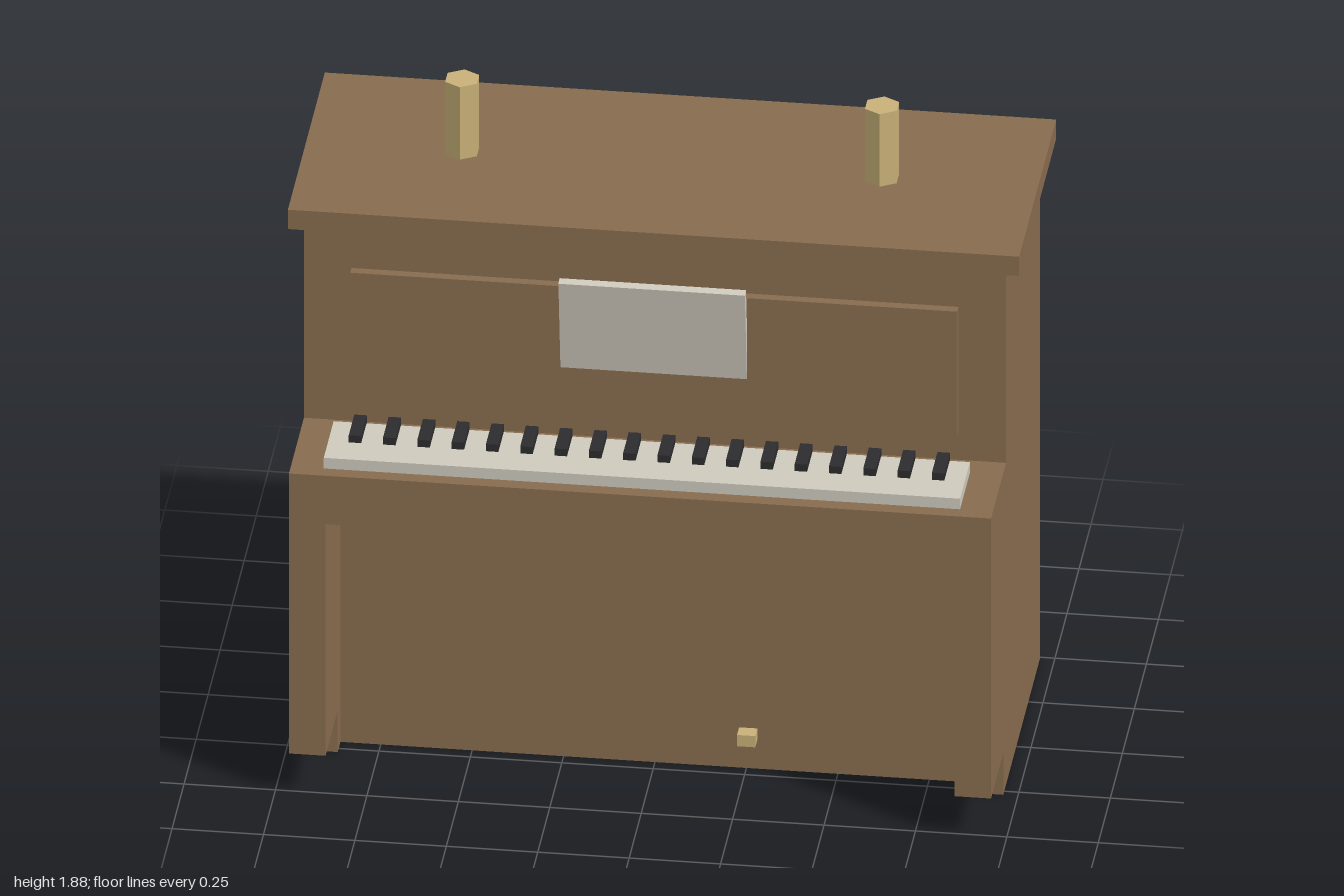
import * as THREE from 'three';

const material = (name, color) => {
  const m = new THREE.MeshStandardMaterial({ color });
  m.name = name;
  return m;
};

// Extrudes a side profile of [z, y] points across x, centred on x = 0.
function sideExtrude(points, width) {
  const shape = new THREE.Shape(points.map(([z, y]) => new THREE.Vector2(z, y)));
  const geo = new THREE.ExtrudeGeometry(shape, { depth: width, bevelEnabled: false });
  return geo.translate(0, 0, -width / 2).rotateY(-Math.PI / 2);
}

export function createModel() {
  const wood = material('brown wood', 0x876b4d);
  const ivory = material('ivory', 0xcec9bd);
  const ebony = material('black key', 0x2c2c2e);
  const brass = material('brass', 0xc8b078);

  const piano = new THREE.Group();
  piano.name = 'uprightPiano';

  const add = (name, geo, mat, x = 0, y = 0, z = 0) => {
    const mesh = new THREE.Mesh(geo, mat);
    mesh.name = name;
    mesh.position.set(x, y, z);
    piano.add(mesh);
    return mesh;
  };
  // Box given by its lower and upper corners.
  const box = (name, mat, [x0, y0, z0], [x1, y1, z1]) =>
    add(name, new THREE.BoxGeometry(x1 - x0, y1 - y0, z1 - z0), mat,
      (x0 + x1) / 2, (y0 + y1) / 2, (z0 + z1) / 2);

  // Cabinet core with the overhanging key shelf
  add('cabinet', sideExtrude([
    [-0.49, 0], [0.213, 0], [0.213, 0.85], [0.525, 0.85],
    [0.525, 1], [0.213, 1], [0.213, 1.6], [-0.49, 1.6],
  ], 1.72), wood);

  // Side walls, each with a stepped foot and raised front leg
  const wall = sideExtrude([
    [-0.49, 0], [0.27, 0], [0.27, 0.13], [0.525, 0.13],
    [0.525, 1], [0.213, 1], [0.213, 1.6], [-0.49, 1.6],
  ], 0.1);
  add('leftWall', wall, wood, 0.91);
  add('rightWall', wall, wood, -0.91);

  // Lid and raised upper panel
  box('lid', wood, [-1, 1.6, -0.525], [1, 1.66, 0.243]);
  box('upperPanel', wood, [-0.83, 1.09, 0.213], [0.83, 1.475, 0.24]);

  // Sheet leaning forward from the upper panel
  const sheet = add('musicSheet', new THREE.BoxGeometry(0.51, 0.3, 0.025), ivory, 0, 1.36, 0.248);
  sheet.rotation.x = 0.15;

  // Keyboard: white key bed and evenly spaced black keys
  box('whiteKeys', ivory, [-0.87, 1, 0.28], [0.87, 1.033, 0.485]);
  const keyGeo = new THREE.BoxGeometry(0.034, 0.025, 0.116);
  for (let i = 0; i < 18; i++) {
    add('blackKey', keyGeo, ebony, -0.797 + i * 0.0938, 1.0425, 0.333);
  }

  // Hexagonal candles on the lid
  const candleGeo = new THREE.CylinderGeometry(0.05, 0.05, 0.225, 6).toNonIndexed();
  candleGeo.computeVertexNormals();
  for (const [name, x] of [['leftCandle', 0.574], ['rightCandle', -0.574]]) {
    add(name, candleGeo, brass, x, 1.7725, -0.143);
  }

  // Pedal
  box('pedal', brass, [0.23, 0.09, 0.2], [0.28, 0.125, 0.256]);

  return piano;
}
